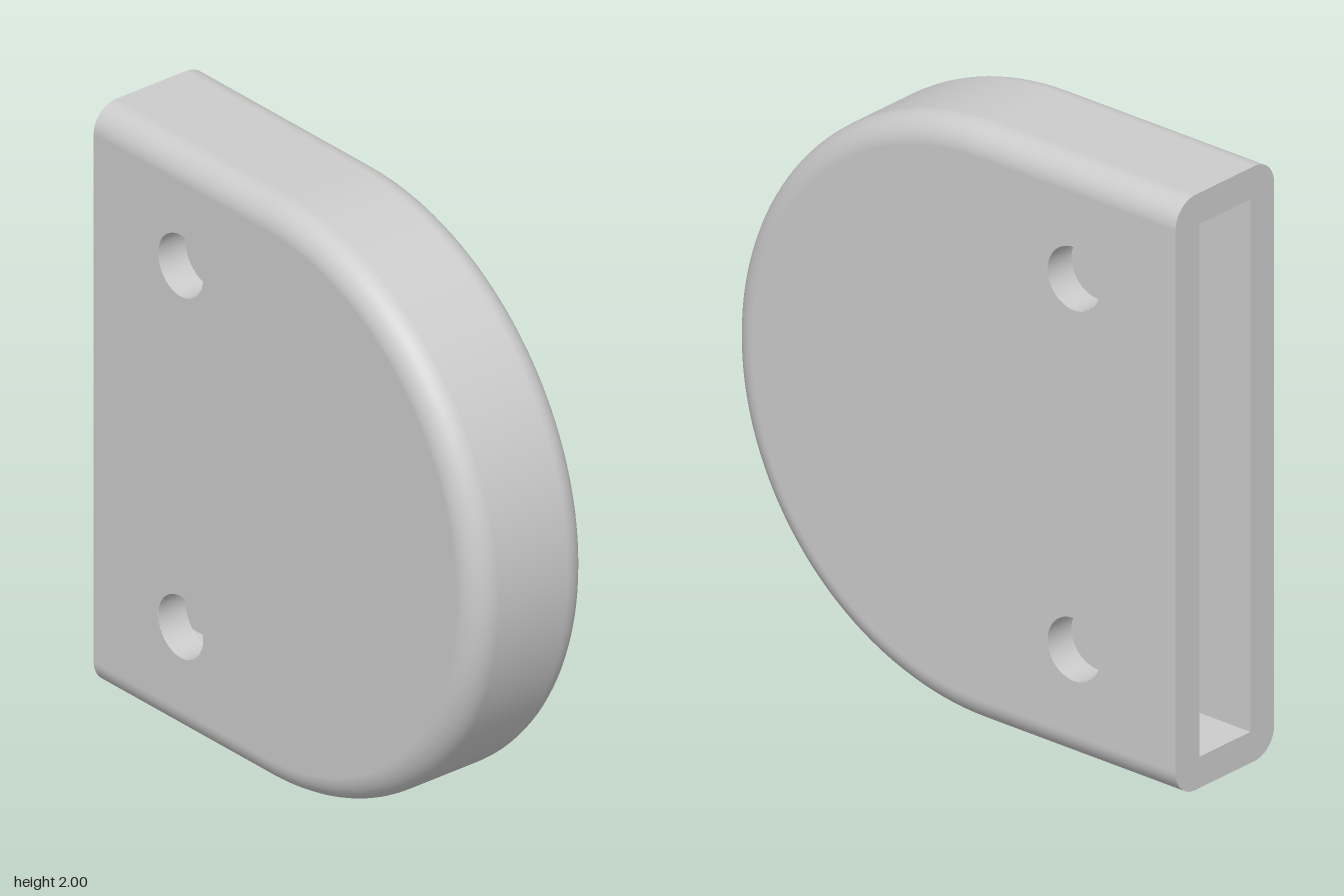
import * as THREE from 'three';

const END = -0.9, CX = -0.1;          // open end, centre of the round end
const R = 1, HALF = 0.228, FILLET = 0.09;
const CAV_R = 0.895, CAV_HALF = 0.118; // inner cavity
const HOLE_X = -0.49, HOLE_Y = 0.623, HOLE_R = 0.106;

// D-shaped outline: centre points with their outward directions
function dPath(segments = 72) {
  const path = [{ x: END, nx: 0, ny: 1 }];
  for (let i = 0; i <= segments; i++) {
    const a = Math.PI / 2 - (Math.PI * i) / segments;
    path.push({ x: CX, nx: Math.cos(a), ny: Math.sin(a) });
  }
  path.push({ x: END, nx: 0, ny: -1 });
  return path;
}

// Sweep a profile of { r, z, nr, nz } around the D outline
function sweep(profile) {
  const path = dPath(), pos = [], nor = [], idx = [], n = profile.length;
  path.forEach((c, i) => profile.forEach((p, j) => {
    pos.push(c.x + c.nx * p.r, c.ny * p.r, p.z);
    nor.push(c.nx * p.nr, c.ny * p.nr, p.nz);
    if (i < path.length - 1 && j < n - 1) {
      const a = i * n + j, b = a + n;
      idx.push(a, b, a + 1, b, b + 1, a + 1);
    }
  }));
  const g = new THREE.BufferGeometry();
  g.setAttribute('position', new THREE.Float32BufferAttribute(pos, 3));
  g.setAttribute('normal', new THREE.Float32BufferAttribute(nor, 3));
  g.setIndex(idx);
  return g;
}

// Flat D-shaped face with two round holes, facing +z or -z
function dFace(r, z, facing) {
  const s = new THREE.Shape(dPath().map(c => new THREE.Vector2(c.x + c.nx * r, c.ny * r)));
  for (const sy of [-1, 1]) {
    s.holes.push(new THREE.Path().absarc(HOLE_X, sy * HOLE_Y, HOLE_R, 0, Math.PI * 2));
  }
  const g = new THREE.ShapeGeometry(s, 48);
  if (facing < 0) g.rotateX(Math.PI);
  return g.translate(0, 0, z);
}

// Rounded rectangular end frame around the slot
function endFrame() {
  const w = HALF, h = R, f = FILLET, s = new THREE.Shape(), q = Math.PI / 2;
  s.absarc(w - f, h - f, f, 0, q);
  s.absarc(-w + f, h - f, f, q, 2 * q);
  s.absarc(-w + f, -h + f, f, 2 * q, 3 * q);
  s.absarc(w - f, -h + f, f, 3 * q, 4 * q);
  s.closePath();
  s.holes.push(new THREE.Path([[-1, -1], [-1, 1], [1, 1], [1, -1]]
    .map(([a, b]) => new THREE.Vector2(a * CAV_HALF, b * CAV_R))));
  return new THREE.ShapeGeometry(s, 12).rotateY(-Math.PI / 2).translate(END, 0, 0);
}

export function createModel() {
  const group = new THREE.Group();
  group.name = 'clampCover';
  const mat = new THREE.MeshStandardMaterial({ color: 0xcccccc });
  const holeMat = new THREE.MeshStandardMaterial({ color: 0xcccccc, side: THREE.DoubleSide });
  const add = (name, geometry, material = mat) => {
    const m = new THREE.Mesh(geometry, material);
    m.name = name;
    m.position.y = R;
    group.add(m);
  };

  // Outer rim with rounded edges
  const rim = [];
  for (const side of [1, -1]) {
    for (let k = 0; k <= 10; k++) {
      const a = (Math.PI / 2) * (side > 0 ? 1 - k / 10 : -k / 10);
      const nr = Math.cos(a), nz = Math.sin(a);
      rim.push({ r: R - FILLET + FILLET * nr, z: side * (HALF - FILLET) + FILLET * nz, nr, nz });
    }
  }
  add('outerRim', sweep(rim));

  // Inner wall of the cavity
  add('cavityWall', sweep([-1, 1].map(s => ({ r: CAV_R, z: s * CAV_HALF, nr: -1, nz: 0 }))));

  // Front and back plates, outside and inside, with the bolt holes through them
  for (const [side, label] of [[1, 'front'], [-1, 'back']]) {
    add(label + 'Face', dFace(R - FILLET, side * HALF, side));
    add(label + 'CavityFace', dFace(CAV_R, side * CAV_HALF, -side));
    for (const sy of [1, -1]) {
      const bore = new THREE.CylinderGeometry(HOLE_R, HOLE_R, HALF - CAV_HALF, 48, 1, true);
      bore.rotateX(Math.PI / 2).translate(HOLE_X, sy * HOLE_Y, side * (HALF + CAV_HALF) / 2);
      add(label + (sy > 0 ? 'UpperHole' : 'LowerHole'), bore, holeMat);
    }
  }

  // Frame around the slot at the open end
  add('slotFrame', endFrame());
  return group;
}
